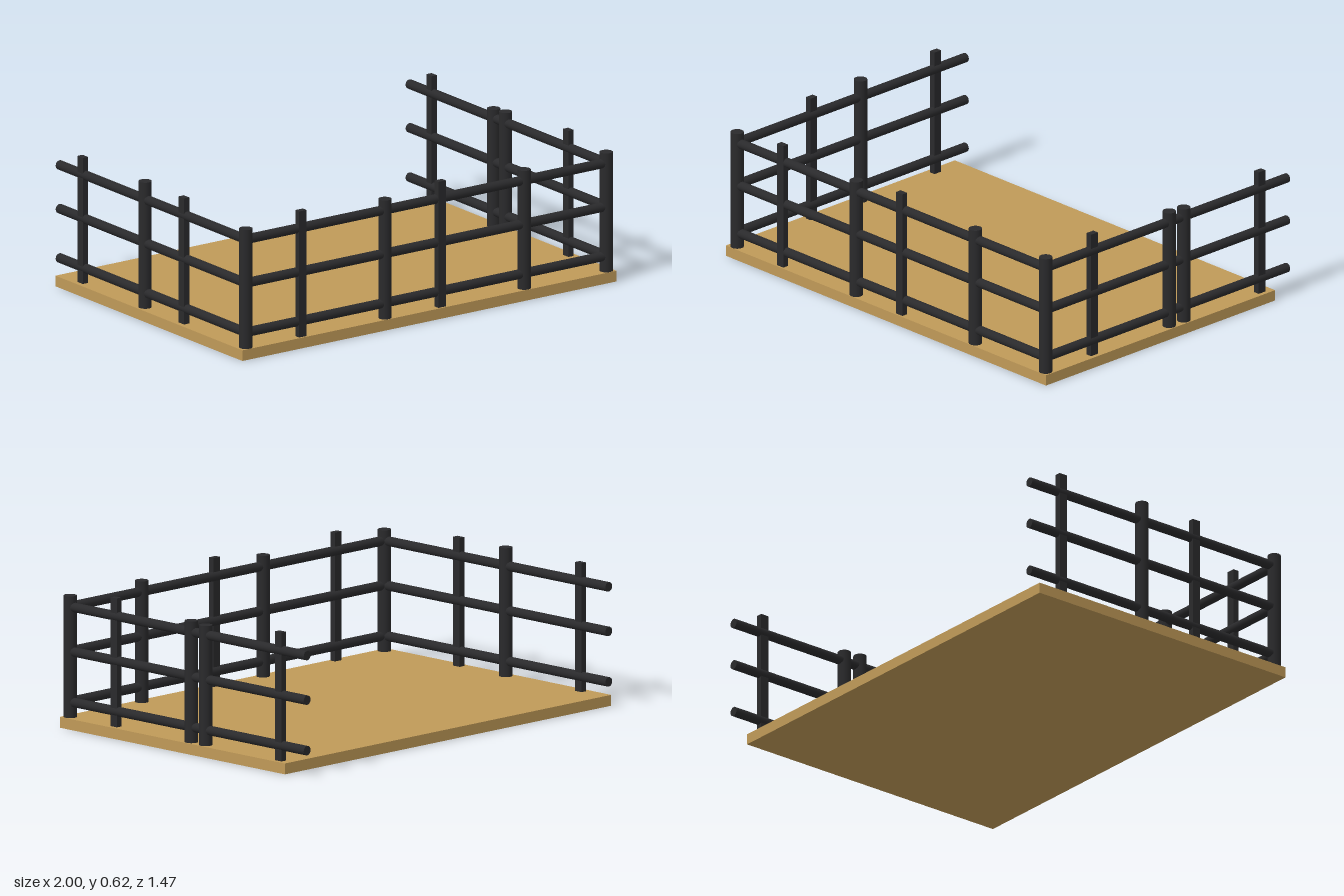
import * as THREE from 'three';

const wood = new THREE.MeshStandardMaterial({ color: 0xc09a58 });
const iron = new THREE.MeshStandardMaterial({ color: 0x2a2a2c });

const LEFT = 0.967, RIGHT = -0.96, FRONT = 0.705;
const BASE = 0.04;

function add(group, name, geometry, material, x, y, z) {
  const mesh = new THREE.Mesh(geometry, material);
  mesh.name = name;
  mesh.position.set(x, y, z);
  group.add(mesh);
  return mesh;
}

// Round main post standing in the deck
function mainPost(group, x, z, top = 0.585) {
  const h = top - BASE;
  add(group, 'mainPost', new THREE.CylinderGeometry(0.029, 0.029, h, 16), iron, x, BASE + h / 2, z);
}

// Slim rectangular post between the main posts; w along x, d along z
function slimPost(group, x, z, w, d) {
  const h = 0.617 - BASE;
  add(group, 'slimPost', new THREE.BoxGeometry(w, h, d), iron, x, BASE + h / 2, z);
}

// Three horizontal round rails between two ground points
function rails(group, x0, z0, x1, z1) {
  const dir = new THREE.Vector3(x1 - x0, 0, z1 - z0);
  const length = dir.length();
  for (const y of [0.115, 0.338, 0.535]) {
    const rail = add(group, 'rail', new THREE.CylinderGeometry(0.021, 0.021, length, 16),
      iron, (x0 + x1) / 2, y, (z0 + z1) / 2);
    rail.quaternion.setFromUnitVectors(new THREE.Vector3(0, 1, 0), dir.clone().normalize());
  }
}

function section(model, name) {
  const group = new THREE.Group();
  group.name = name;
  model.add(group);
  return group;
}

export function createModel() {
  const model = new THREE.Group();
  model.name = 'fencedDeck';

  // Deck
  add(model, 'deck', new THREE.BoxGeometry(2, 0.048, 1.37), wood, 0, 0.024, 0.05);

  // Front fence, including both corner posts
  const front = section(model, 'frontFence');
  rails(front, RIGHT, FRONT, LEFT, FRONT);
  for (const x of [RIGHT, -0.216, 0.528, LEFT]) mainPost(front, x, FRONT);
  for (const x of [-0.67, 0.074]) slimPost(front, x, FRONT + 0.007, 0.04, 0.028);

  // Left fence, with two main posts close together
  const left = section(model, 'leftFence');
  rails(left, LEFT, FRONT, LEFT, -0.737);
  mainPost(left, LEFT, -0.033);
  mainPost(left, LEFT, -0.12, 0.578);
  for (const z of [0.427, -0.575]) slimPost(left, LEFT, z, 0.028, 0.04);

  // Right fence, slightly shorter
  const right = section(model, 'rightFence');
  rails(right, RIGHT, FRONT, RIGHT, -0.66);
  mainPost(right, RIGHT, -0.033, 0.617);
  for (const z of [0.257, -0.485]) slimPost(right, RIGHT - 0.004, z, 0.028, 0.04);

  return model;
}
